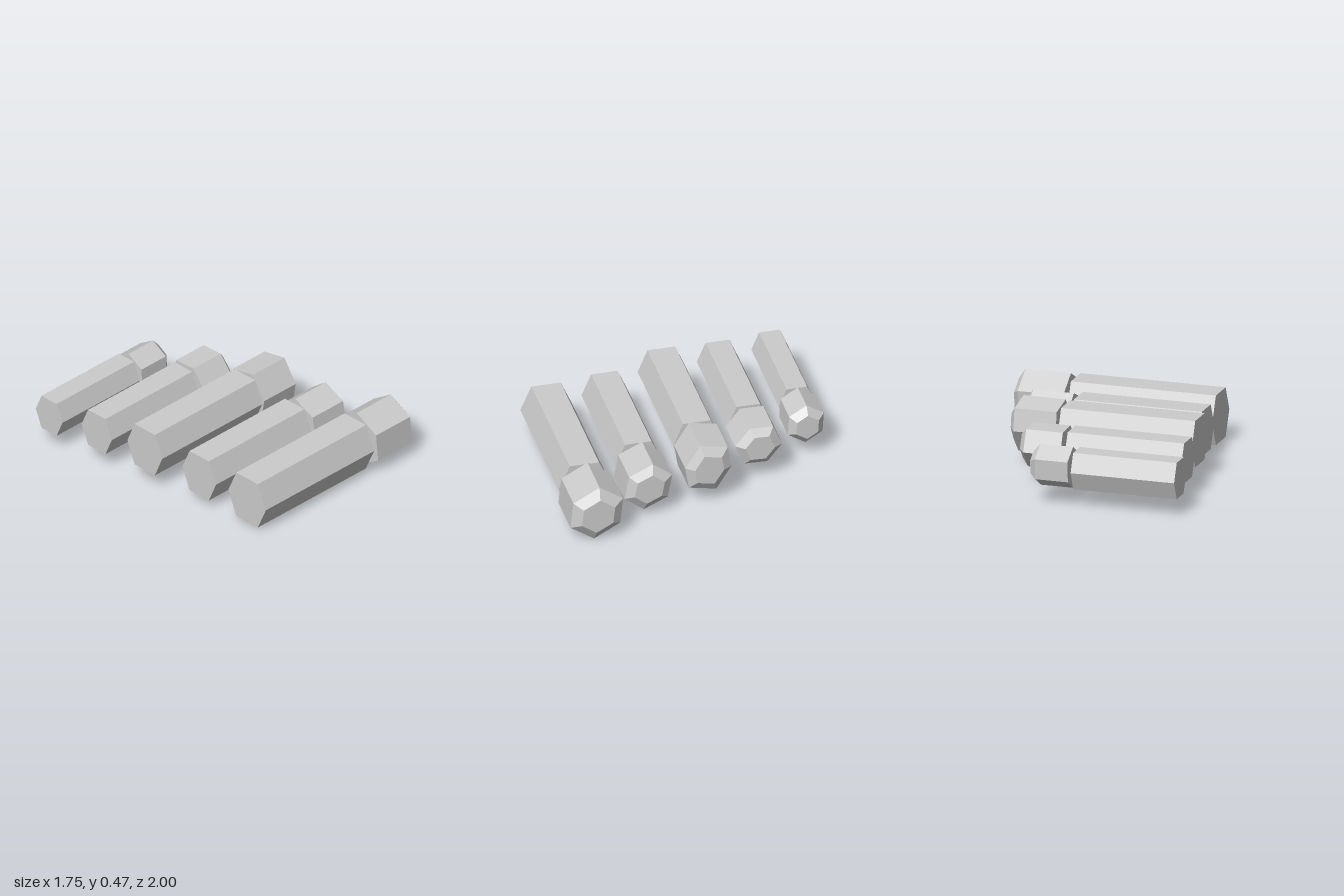
import * as THREE from 'three';

// Faceted solid along x: rings are [x, scale], the section is a loop of [z, y]
// offsets running clockwise when seen from +x.
function loft(section, rings) {
  const pos = [];
  const n = section.length;
  const point = ([x, s], j) => [x, section[j % n][1] * s, section[j % n][0] * s];
  const tri = (...corners) => corners.forEach((c) => pos.push(...c));
  const first = rings[0], last = rings[rings.length - 1];
  for (let j = 0; j < n; j++) {
    for (let i = 0; i < rings.length - 1; i++) {
      const a = point(rings[i], j), b = point(rings[i], j + 1);
      const c = point(rings[i + 1], j + 1), d = point(rings[i + 1], j);
      tri(a, d, c);
      tri(a, c, b);
    }
    tri([first[0], 0, 0], point(first, j), point(first, j + 1));
    tri([last[0], 0, 0], point(last, j + 1), point(last, j));
  }
  const geometry = new THREE.BufferGeometry();
  geometry.setAttribute('position', new THREE.Float32BufferAttribute(pos, 3));
  geometry.computeVertexNormals();
  return geometry;
}

// Point-symmetric hexagon from three neighbouring corners
const hexagon = (half) => [...half, ...half.map(([z, y]) => [-z, -y])];

// base: x range, centre [z, y], half width, half flat, half height
// tip: x of start, shoulder and end, centre [z, y], three corner offsets
const fingers = [
  { base: { x: [-0.605, 0.46], at: [0.805, 0.21], size: [0.185, 0.105, 0.18] },
    tip: { x: [0.49, 0.825, 0.875], at: [0.811, 0.215], half: [[-0.02, 0.206], [-0.189, 0.092], [-0.168, -0.105]] } },
  { base: { x: [-0.645, 0.295], at: [0.375, 0.233], size: [0.165, 0.095, 0.162] },
    tip: { x: [0.32, 0.62, 0.66], at: [0.387, 0.237], half: [[-0.033, 0.179], [-0.171, 0.073], [-0.139, -0.101]] } },
  { base: { x: [-0.745, 0.24], at: [-0.06, 0.295], size: [0.17, 0.1, 0.168] },
    tip: { x: [0.26, 0.57, 0.61], at: [-0.056, 0.295], half: [[0.057, 0.184], [-0.14, 0.145], [-0.166, -0.016]] } },
  { base: { x: [-0.8, 0.055], at: [-0.477, 0.275], size: [0.148, 0.085, 0.145] },
    tip: { x: [0.085, 0.355, 0.4], at: [-0.474, 0.28], half: [[0.063, 0.143], [-0.104, 0.137], [-0.169, -0.014]] } },
  { base: { x: [-0.875, -0.115], at: [-0.87, 0.263], size: [0.13, 0.074, 0.132] },
    tip: { x: [-0.09, 0.15, 0.2], at: [-0.866, 0.265], half: [[-0.005, 0.15], [-0.129, 0.071], [-0.12, -0.075]] } },
];

export function createModel() {
  const model = new THREE.Group();
  model.name = 'fingers';
  const material = new THREE.MeshStandardMaterial({ color: 0xcccccc, flatShading: true });

  const add = (parent, name, section, rings, [z, y]) => {
    const mesh = new THREE.Mesh(loft(section, rings), material);
    mesh.name = name;
    mesh.position.set(0, y, z);
    parent.add(mesh);
  };

  fingers.forEach(({ base, tip }, i) => {
    const finger = new THREE.Group();
    finger.name = `finger${i + 1}`;
    // Long hexagonal shaft, flat side up
    const [w, f, h] = base.size;
    add(finger, 'fingerBase', hexagon([[f, h], [-f, h], [-w, 0]]),
      [[base.x[0], 1], [base.x[1], 1]], base.at);
    // Short twisted hexagonal tip with a bevelled end
    const [start, shoulder, end] = tip.x;
    add(finger, 'fingerTip', hexagon(tip.half),
      [[start, 1], [shoulder, 1], [end, 0.63]], tip.at);
    model.add(finger);
  });
  return model;
}
